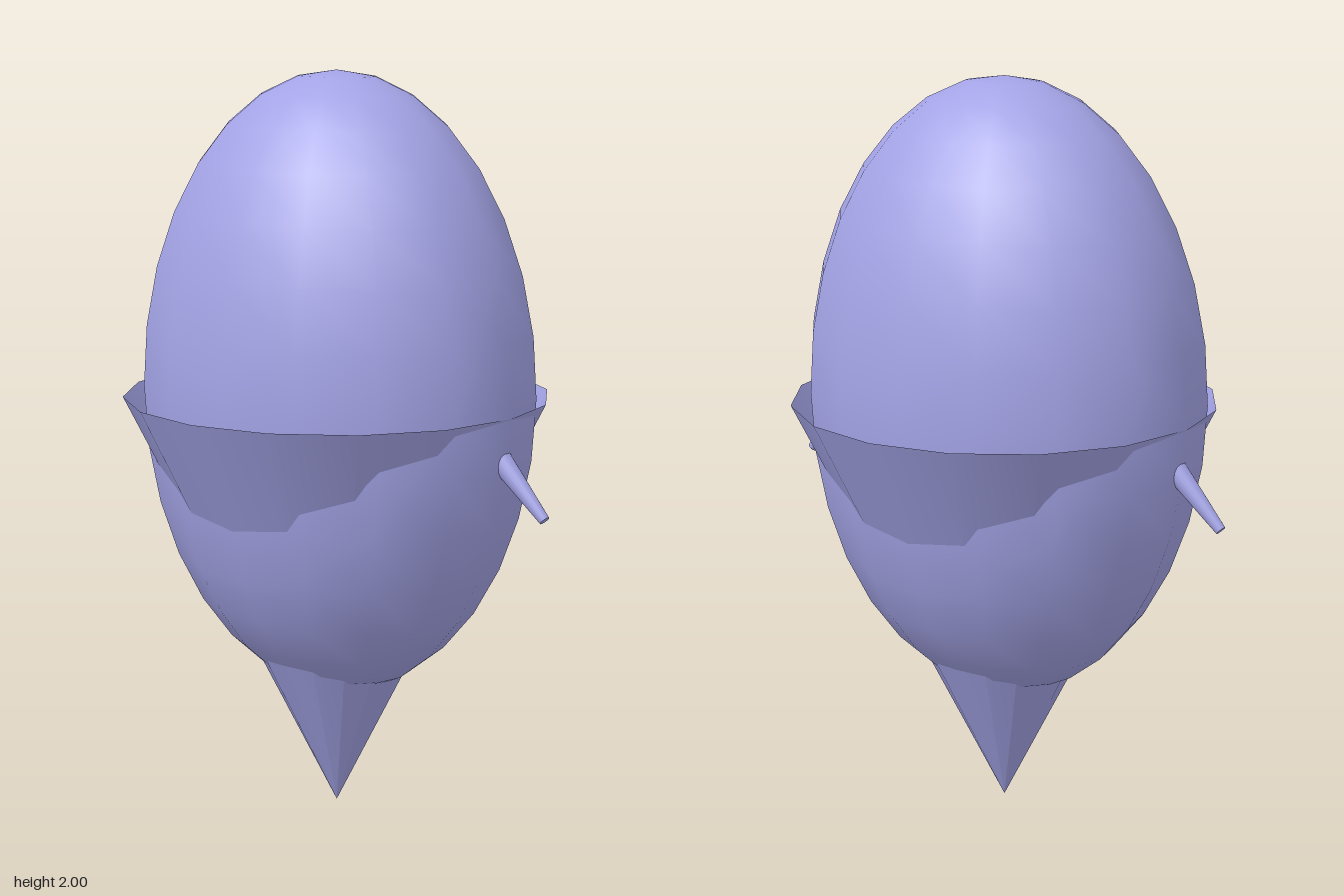
import * as THREE from 'three';

const SIDES = 16;

export function createModel() {
  const group = new THREE.Group();
  const material = new THREE.MeshStandardMaterial({ color: 0xa3a3e6 });
  const shellMaterial = material.clone();
  shellMaterial.side = THREE.DoubleSide;

  const add = (name, geometry, mat = material) => {
    const mesh = new THREE.Mesh(geometry, mat);
    mesh.name = name;
    group.add(mesh);
    return mesh;
  };

  // Egg-shaped body, flattened front to back
  const bodyGeometry = new THREE.SphereGeometry(1, SIDES, SIDES);
  bodyGeometry.scale(0.57, 0.835, 0.455);
  add('body', bodyGeometry).position.y = 1.165;

  // Open cone pointing down, its rim standing out around the body
  const coneHeight = 1.145;
  const coneGeometry = new THREE.ConeGeometry(0.57, coneHeight, SIDES, 1, true);
  coneGeometry.rotateX(Math.PI);
  add('cone', coneGeometry, shellMaterial).position.y = coneHeight / 2;

  // Short tapered arms, sloping down and outward
  const up = new THREE.Vector3(0, 1, 0);
  for (const side of [1, -1]) {
    const root = new THREE.Vector3(side * 0.5, 1.075, 0);
    const tip = new THREE.Vector3(side * 0.678, 0.898, 0);
    const axis = tip.clone().sub(root);
    const arm = add(
      side > 0 ? 'leftArm' : 'rightArm',
      new THREE.CylinderGeometry(0.014, 0.035, axis.length(), SIDES)
    );
    arm.position.copy(root).lerp(tip, 0.5);
    arm.quaternion.setFromUnitVectors(up, axis.normalize());
  }

  return group;
}
